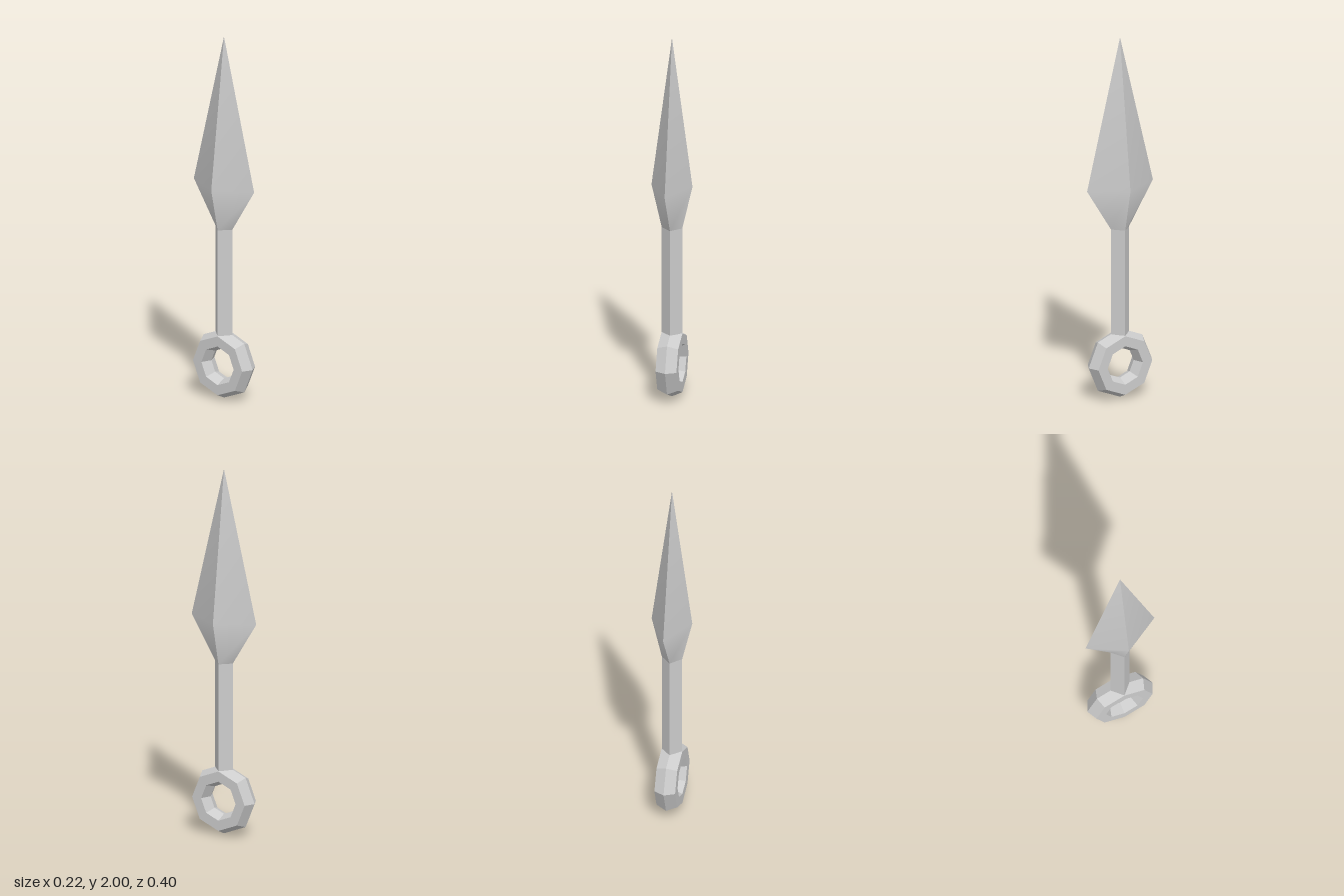
import * as THREE from 'three';

const material = new THREE.MeshStandardMaterial({ color: 0xcccccc });
const flatMaterial = new THREE.MeshStandardMaterial({ color: 0xcccccc, flatShading: true });

// Four-sided diamond blade: each side is smooth along its length, with sharp edges between sides
function bladeGeometry() {
  const sections = [ // y, half width in x, half depth in z
    [0.94, 0.055, 0.055],
    [1.175, 0.11, 0.2],
  ];
  const positions = [];
  const indices = [];
  for (let side = 0; side < 4; side++) {
    const base = positions.length / 3;
    for (const [y, hx, hz] of sections) {
      for (const corner of [side, side + 1]) {
        const a = corner * Math.PI / 2;
        positions.push(Math.sin(a) * hx, y, Math.cos(a) * hz);
      }
    }
    positions.push(0, 2, 0);
    for (const i of [0, 1, 3, 0, 3, 2, 2, 3, 4]) indices.push(base + i);
  }
  const geometry = new THREE.BufferGeometry();
  geometry.setAttribute('position', new THREE.Float32BufferAttribute(positions, 3));
  geometry.setIndex(indices);
  geometry.computeVertexNormals();
  return geometry;
}

export function createModel() {
  const model = new THREE.Group();
  model.name = 'throwingKnife';

  const blade = new THREE.Mesh(bladeGeometry(), material);
  blade.name = 'blade';

  // Square handle turned edge-on
  const handle = new THREE.Mesh(new THREE.CylinderGeometry(0.055, 0.055, 0.585, 4), flatMaterial);
  handle.name = 'handle';
  handle.position.y = 0.6475;

  // Eight-sided ring with a six-sided section, lying in the y-z plane
  const section = [
    [0.083, 0], [0.107, -0.056], [0.163, -0.056],
    [0.19, 0], [0.163, 0.056], [0.107, 0.056], [0.083, 0],
  ].map(([r, h]) => new THREE.Vector2(r, h));
  const ring = new THREE.Mesh(new THREE.LatheGeometry(section, 8), flatMaterial);
  ring.name = 'pommelRing';
  ring.rotation.z = Math.PI / 2;
  ring.position.y = 0.19;

  model.add(blade, handle, ring);
  return model;
}
